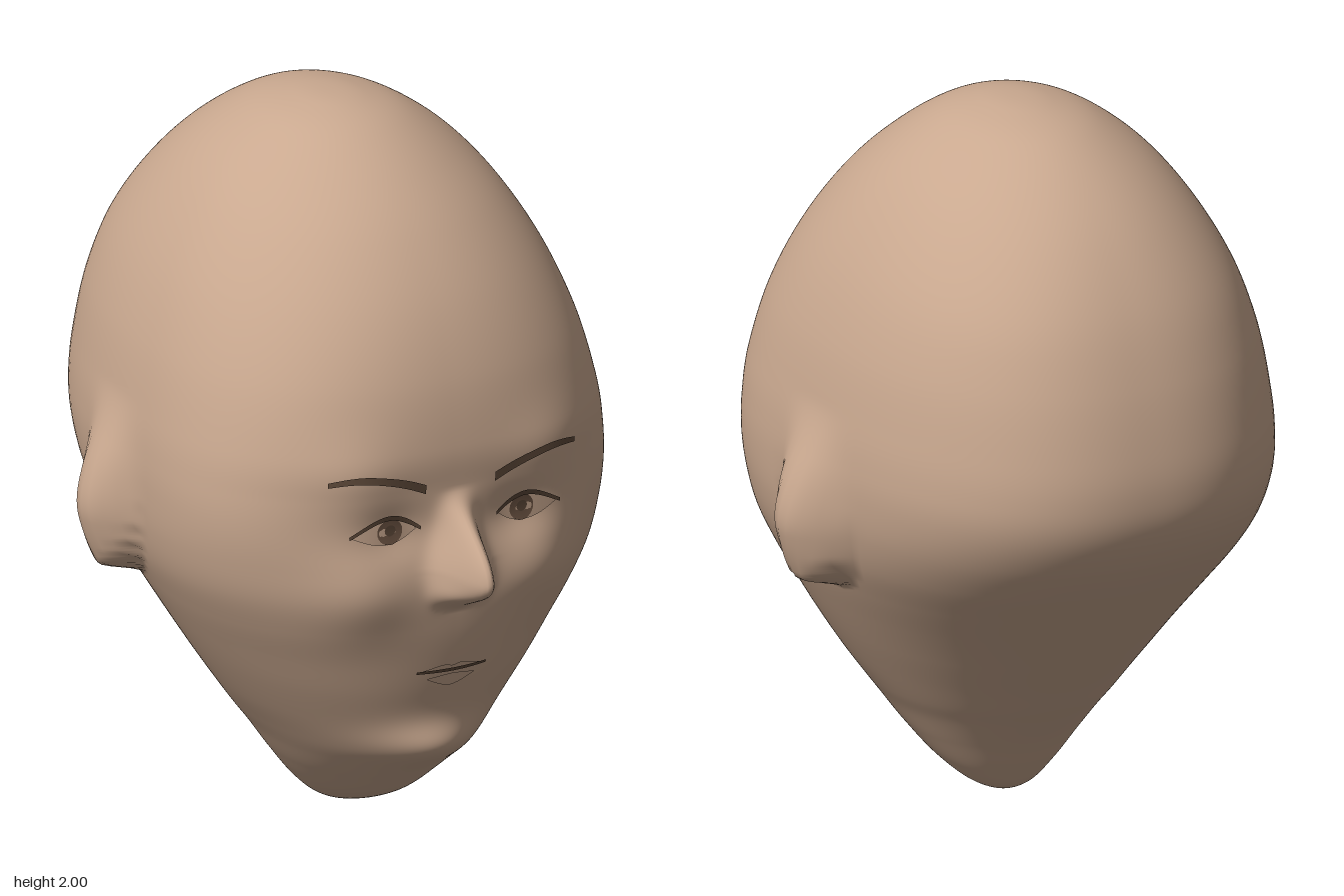
import * as THREE from 'three';

const skin = new THREE.MeshStandardMaterial({ color: 0xc9a88f });
skin.name = 'skin';
const brown = new THREE.MeshStandardMaterial({ color: 0x5f4a3a, side: THREE.DoubleSide });
brown.name = 'browBrown';
const irisBrown = new THREE.MeshStandardMaterial({ color: 0x6e5544, side: THREE.DoubleSide });
irisBrown.name = 'irisBrown';

// Head cross-sections: y, half width, front z, back z, z of widest point, front squareness
const ROWS = [
  [0, 0, 0.01, 0.01, 0.01, 2],
  [0.025, 0.083, 0.13, -0.06, 0.03, 2],
  [0.09, 0.16, 0.28, -0.115, 0.06, 2],
  [0.18, 0.232, 0.4, -0.18, 0.08, 2],
  [0.26, 0.288, 0.48, -0.246, 0.09, 2],
  [0.32, 0.332, 0.525, -0.298, 0.09, 2],
  [0.4, 0.388, 0.567, -0.366, 0.1, 2],
  [0.5, 0.452, 0.61, -0.455, 0.1, 2.05],
  [0.6, 0.511, 0.643, -0.545, 0.1, 2.1],
  [0.7, 0.565, 0.668, -0.635, 0.1, 2.2],
  [0.8, 0.61, 0.682, -0.723, 0.1, 2.3],
  [0.9, 0.635, 0.68, -0.8, 0.1, 2.4],
  [1.0, 0.645, 0.674, -0.85, 0.1, 2.5],
  [1.1, 0.645, 0.674, -0.865, 0.09, 2.5],
  [1.22, 0.632, 0.676, -0.853, 0.07, 2.45],
  [1.4, 0.594, 0.643, -0.807, 0.03, 2.35],
  [1.58, 0.527, 0.567, -0.73, 0, 2.2],
  [1.74, 0.434, 0.453, -0.617, -0.03, 2.1],
  [1.86, 0.33, 0.325, -0.487, -0.05, 2],
  [1.95, 0.205, 0.185, -0.335, -0.05, 2],
  [1.99, 0.095, 0.065, -0.185, -0.05, 2],
  [2.0, 0, -0.05, -0.05, -0.05, 2],
];
const LAST = ROWS.length - 1;

// Row lookup that mirrors past the poles, so both ends close roundly
function row(i) {
  if (i >= 0 && i <= LAST) return ROWS[i];
  const end = ROWS[i < 0 ? 0 : LAST], next = ROWS[i < 0 ? 1 : LAST - 1];
  return end.map((v, k) => (k === 0 ? next[0] : 2 * v - next[k]));
}

function section(t) {
  const i = Math.min(Math.floor(t), LAST - 1), u = t - i;
  const [a, b, c, d] = [row(i - 1), row(i), row(i + 1), row(i + 2)];
  return b.map((v, k) => v + 0.5 * u * (c[k] - a[k]
    + u * (2 * a[k] - 5 * v + 4 * c[k] - d[k] + u * (3 * (v - c[k]) + d[k] - a[k]))));
}

const bump = (x, y, cx, cy, sx, sy) => Math.exp(-(((x - cx) / sx) ** 2) - ((y - cy) / sy) ** 2);
const smooth = THREE.MathUtils.smoothstep;

// Nose, nostrils, eye sockets, cheekbones, brow ridge and chin pushed along z
function faceRelief(x, y) {
  const ax = Math.abs(x);
  const u = Math.min(1, y > 0.88 ? (y - 0.88) / 0.22 : (0.88 - y + 3 * x * x) / 0.13);
  const width = 0.06 - 0.02 * smooth(y, 0.83, 1.03);
  const ridge = Math.max(0, 0.5 + 0.5 * Math.cos(Math.PI * u)) ** 0.75;
  return 0.187 * ridge * Math.exp(-((x / width) ** 2))
    + 0.022 * bump(ax, y, 0.055, 0.815, 0.032, 0.035)
    - 0.022 * bump(ax, y, 0.18, 0.99, 0.1, 0.08)
    + 0.028 * bump(ax, y, 0.28, 0.83, 0.13, 0.13)
    + 0.016 * bump(ax, y, 0.3, 1.16, 0.13, 0.11)
    + 0.06 * bump(x, y, 0, 0.31, 0.16, 0.075);
}

// Ear flap swelling out of the side: fades upward, undercut below the lobe
function earRelief(y, z) {
  const d = Math.abs(z + 0.1);
  return 0.108 * Math.exp(-((d / 0.105) ** 2.6))
    * (1 - smooth(y, 0.88, 1.25)) * smooth(y - 8 * d * d, 0.7, 0.748);
}

function headGeometry(around = 224, perRow = 12) {
  const pos = [], idx = [], rows = LAST * perRow;
  for (let j = 0; j <= rows; j++) {
    const [y, w, zf, zb, zc, nf] = section(j / perRow);
    for (let i = 0; i < around; i++) {
      const t = (i / around) * Math.PI * 2;
      const a = t - 0.5 * Math.sin(t); // finer towards the face
      const s = Math.sin(a), c = Math.cos(a);
      const n = c > 0 ? nf : 2 + 0.4 * smooth(y, 0.5, 1.1) * (1 - smooth(y, 1.5, 2));
      const r = 1 / (Math.abs(s) ** n + Math.abs(c) ** n) ** (1 / n);
      let x = w * s * r, z = zc + (c > 0 ? zf - zc : zc - zb) * c * r;
      if (c > 0) z += faceRelief(x, y) * smooth(c, 0, 0.4);
      x += Math.sign(s) * earRelief(y, z);
      pos.push(x, y, z);
      if (j < rows) {
        const p = j * around + i, q = j * around + ((i + 1) % around);
        idx.push(p, q, q + around, p, q + around, p + around);
      }
    }
  }
  const g = new THREE.BufferGeometry();
  g.setAttribute('position', new THREE.Float32BufferAttribute(pos, 3));
  g.setIndex(idx);
  g.computeVertexNormals();
  return g;
}

// Height of the face surface at (x, y)
function faceZ(x, y) {
  let lo = 0, hi = LAST;
  for (let k = 0; k < 30; k++) {
    const mid = (lo + hi) / 2;
    if (section(mid)[0] < y) lo = mid; else hi = mid;
  }
  const [, w, zf, , zc, n] = section(lo);
  return zc + (zf - zc) * (1 - Math.min(1, Math.abs(x) / w) ** n) ** (1 / n) + faceRelief(x, y);
}

// Thin strip on the face; points are [x, top y, bottom y]
function strip(points, lift, side = 1, steps = 20) {
  const top = new THREE.SplineCurve(points.map(p => new THREE.Vector2(p[0], p[1])));
  const bottom = new THREE.SplineCurve(points.map(p => new THREE.Vector2(p[0], p[2])));
  const g = new THREE.PlaneGeometry(1, 1, steps, 1), p = g.attributes.position;
  for (let i = 0; i <= steps; i++) {
    [top, bottom].forEach((curve, k) => {
      const v = curve.getPoint(i / steps);
      p.setXYZ(k * (steps + 1) + i, v.x * side, v.y, faceZ(v.x, v.y) + lift);
    });
  }
  if (side < 0) g.index.array.reverse();
  g.computeVertexNormals();
  return g;
}

function disc(x, y, radius, lift) {
  const g = new THREE.CircleGeometry(radius, 24).translate(x, y, 0), p = g.attributes.position;
  for (let i = 0; i < p.count; i++) p.setZ(i, faceZ(p.getX(i), p.getY(i)) + lift);
  g.computeVertexNormals();
  return g;
}

export function createModel() {
  const model = new THREE.Group();
  model.name = 'head';
  const add = (name, geometry, material) => {
    const mesh = new THREE.Mesh(geometry, material);
    mesh.name = name;
    model.add(mesh);
  };

  add('skullWithEars', headGeometry(), skin);

  const brow = [[0.105, 1.134, 1.107], [0.16, 1.156, 1.131], [0.22, 1.172, 1.15],
    [0.28, 1.181, 1.161], [0.33, 1.178, 1.161], [0.375, 1.168, 1.154]];
  const lid = [[0.115, 1.014, 1.003], [0.155, 1.042, 1.027], [0.2, 1.057, 1.042],
    [0.25, 1.047, 1.033], [0.32, 1.009, 0.999]];
  const eye = [[0.125, 1.008, 1.004], [0.16, 1.032, 0.98], [0.2, 1.045, 0.969],
    [0.25, 1.036, 0.975], [0.31, 1.004, 1]];
  for (const [label, s] of [['left', 1], ['right', -1]]) {
    add(label + 'Eyebrow', strip(brow, 0.02, s), brown);
    add(label + 'Eye', strip(eye, 0.012, s), skin);
    add(label + 'UpperLid', strip(lid, 0.022, s), brown);
    add(label + 'Iris', disc(0.2 * s, 1.006, 0.037, 0.016), irisBrown);
    add(label + 'Pupil', disc(0.2 * s, 1.01, 0.016, 0.019), brown);
  }

  // Mouth
  add('upperLip', strip([[-0.1, 0.572, 0.568], [-0.03, 0.588, 0.568], [0, 0.583, 0.568],
    [0.03, 0.588, 0.568], [0.1, 0.572, 0.568]], 0.01), skin);
  add('mouthLine', strip([[-0.105, 0.577, 0.569], [0, 0.576, 0.566], [0.105, 0.577, 0.569]], 0.014), brown);
  add('lowerLip', strip([[-0.07, 0.55, 0.546], [0, 0.558, 0.52], [0.07, 0.55, 0.546]], 0.012), skin);

  return model;
}
